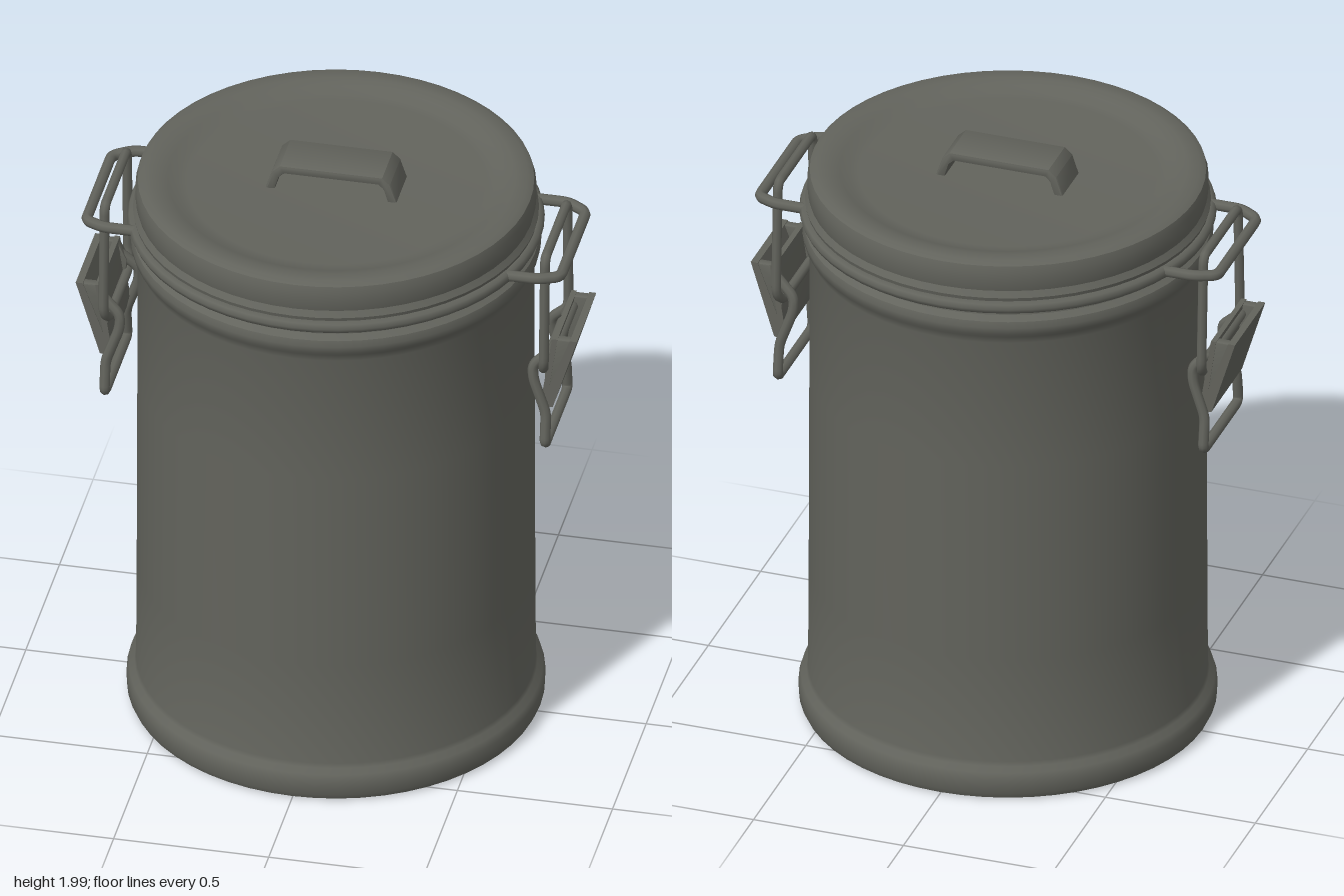
import * as THREE from 'three';
import { toCreasedNormals } from 'three/addons/utils/BufferGeometryUtils.js';

const steel = new THREE.MeshStandardMaterial({ color: 0x62635c });
steel.name = 'grey steel';

function part(name, geometry, parent) {
  const mesh = new THREE.Mesh(geometry, steel);
  mesh.name = name;
  parent.add(mesh);
  return mesh;
}

// Round shell from a bottom-to-top list of [radius, height]
function turned(name, points, parent) {
  const g = new THREE.LatheGeometry(points.map(([r, y]) => new THREE.Vector2(r, y)), 56);
  return part(name, toCreasedNormals(g, 0.6), parent);
}

// Bent wire with slightly rounded corners
function wire(name, points, radius, closed, parent) {
  const v = points.map((p) => new THREE.Vector3(...p));
  const path = new THREE.CurvePath();
  const n = v.length, c = 0.025;
  const toward = (a, b) => a.clone().lerp(b, Math.min(0.45, c / a.distanceTo(b)));
  const count = closed ? n : n - 1;
  for (let i = 0; i < count; i++) {
    const a = v[i], b = v[(i + 1) % n], next = v[(i + 2) % n];
    const start = closed || i > 0 ? toward(a, b) : a;
    const corner = closed || i < count - 1;
    const end = corner ? toward(b, a) : b;
    path.add(new THREE.LineCurve3(start, end));
    if (corner) path.add(new THREE.QuadraticBezierCurve3(end, b, toward(b, next)));
  }
  return part(name, new THREE.TubeGeometry(path, n * 16, radius, 8, closed), parent);
}

// Profile in x and y, extruded across z
function slab(name, points, width, bevel, parent) {
  const shape = new THREE.Shape(points.map(([x, y]) => new THREE.Vector2(x, y)));
  const g = new THREE.ExtrudeGeometry(shape, {
    depth: width - 2 * bevel, bevelEnabled: bevel > 0,
    bevelThickness: bevel, bevelSize: bevel, bevelOffset: -bevel, bevelSegments: 2,
  });
  g.translate(0, 0, -(width - 2 * bevel) / 2);
  return part(name, toCreasedNormals(g, 0.6), parent);
}

function makeLatch() {
  const latch = new THREE.Group();
  // Bail standing out from the neck
  wire('latchBail', [
    [0.6, 1.79, 0.225], [0.7, 1.79, 0.225], [0.765, 1.785, 0.19],
    [0.765, 1.785, -0.19], [0.7, 1.79, -0.225], [0.6, 1.79, -0.225],
  ], 0.018, false, latch);
  // Long link hanging over the bail
  wire('latchLink', [
    [0.71, 1.83, 0.165], [0.71, 1.83, -0.165], [0.71, 1.44, -0.185],
    [0.7, 1.4, -0.15], [0.7, 1.4, 0.15], [0.71, 1.44, 0.185],
  ], 0.016, true, latch);
  // Lever frame below
  wire('leverFrame', [
    [0.74, 1.48, 0.125], [0.665, 1.41, 0.14], [0.667, 1.36, 0.145],
    [0.71, 1.24, 0.152], [0.71, 1.13, 0.17],
    [0.71, 1.13, -0.17], [0.71, 1.24, -0.152],
    [0.667, 1.36, -0.145], [0.665, 1.41, -0.14], [0.74, 1.48, -0.125],
  ], 0.017, true, latch);
  // Folded finger plate, open along the top
  slab('leverPlate', [
    [0.808, 1.515], [0.785, 1.515], [0.72, 1.34], [0.745, 1.515],
    [0.728, 1.515], [0.695, 1.3], [0.705, 1.255], [0.73, 1.26],
  ], 0.29, 0, latch);
  for (const z of [-0.128, 0.128]) {
    slab('leverCheek', [
      [0.806, 1.513], [0.73, 1.513], [0.7, 1.45], [0.71, 1.27], [0.735, 1.28],
    ], 0.03, 0.004, latch).position.z = z;
  }
  return latch;
}

export function createModel() {
  const model = new THREE.Group();
  model.name = 'latchedCanister';

  // Container wall, base band and neck bead
  turned('body', [
    [0, 0.01], [0.63, 0.01], [0.65, 0.016], [0.659, 0.035], [0.66, 0.08], [0.652, 0.105],
    [0.635, 0.12], [0.63, 0.135], [0.628, 0.5], [0.626, 1.2], [0.625, 1.65], [0.632, 1.675],
    [0.644, 1.69], [0.648, 1.715], [0.642, 1.735], [0.622, 1.75], [0.617, 1.77], [0.617, 1.83],
  ], model);

  // Clamping wire around the neck
  const ring = part('neckWire', new THREE.TorusGeometry(0.637, 0.021, 8, 56), model);
  ring.rotation.x = Math.PI / 2;
  ring.position.y = 1.787;

  // Lid with rounded rim and shallow dished top
  turned('lid', [
    [0.6, 1.80], [0.636, 1.803], [0.64, 1.82], [0.628, 1.84], [0.632, 1.86], [0.632, 1.905],
    [0.625, 1.927], [0.605, 1.938], [0.565, 1.937], [0.53, 1.928], [0.5, 1.915], [0.47, 1.912], [0, 1.912],
  ], model);

  // Strap handle
  slab('lidHandle', [
    [-0.215, 1.9], [-0.19, 1.975], [-0.165, 1.998], [0.165, 1.998], [0.19, 1.975], [0.215, 1.9],
    [0.185, 1.9], [0.168, 1.955], [0.152, 1.97], [-0.152, 1.97], [-0.168, 1.955], [-0.185, 1.9],
  ], 0.16, 0.006, model).position.z = -0.005;

  // One latch on each side
  const left = makeLatch();
  left.name = 'leftLatch';
  const right = makeLatch();
  right.name = 'rightLatch';
  right.rotation.y = Math.PI;
  model.add(left, right);

  return model;
}
